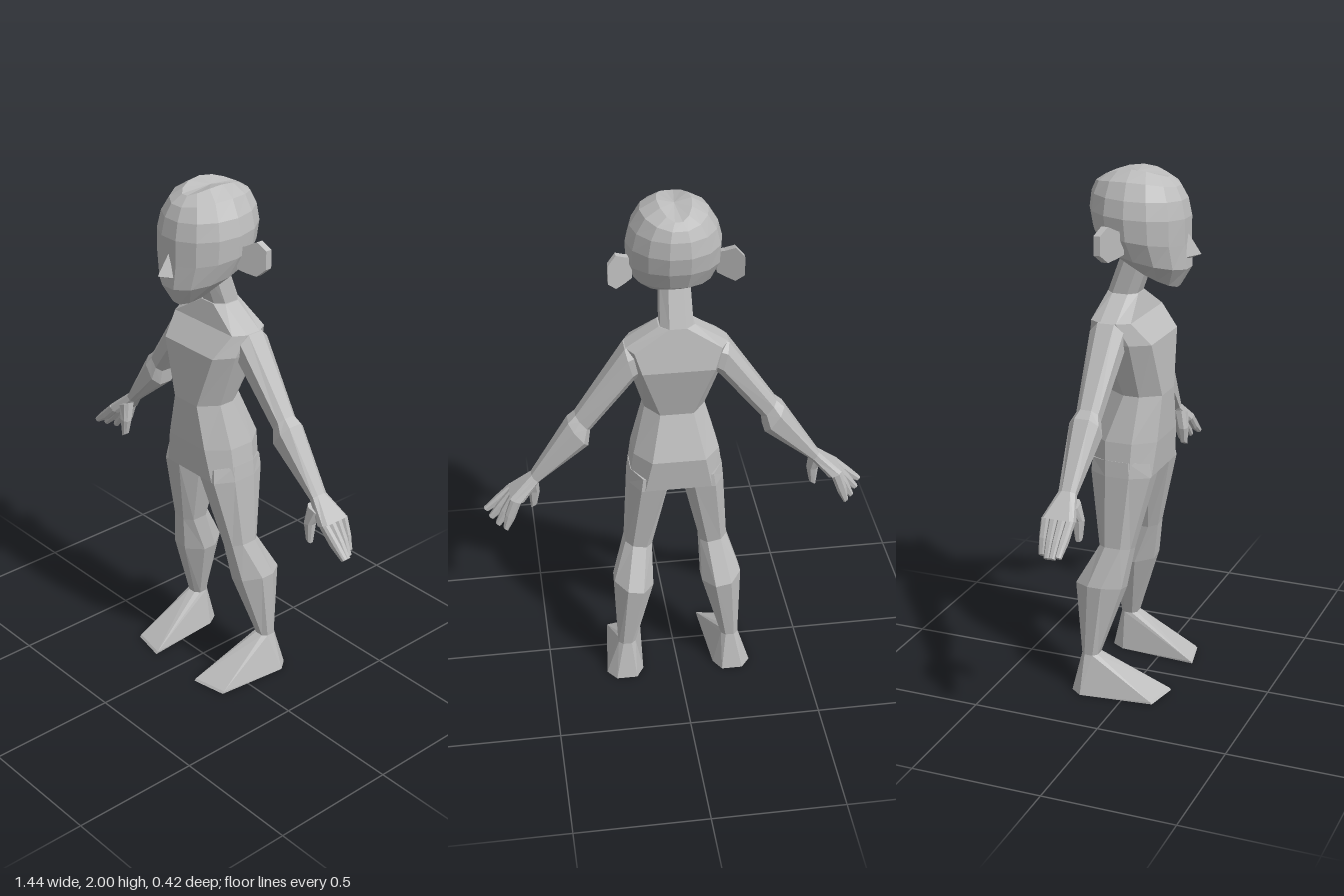
import * as THREE from 'three';
import { ConvexGeometry } from 'three/addons/geometries/ConvexGeometry.js';

const skin = new THREE.MeshStandardMaterial({ color: 0xbcbcbc, flatShading: true });
skin.name = 'grey clay';

// Eight-sided cross-section between outer point a and inner point b (x, y), from z back to z front
function ring(a, b, zf, zb, cu = 0.5, cv = 0.5) {
  const uv = [[1, cv], [cu, 1], [-cu, 1], [-1, cv], [-1, -cv], [-cu, -1], [cu, -1], [1, -cv]];
  return uv.map(([u, v]) => {
    const t = (u + 1) / 2, s = (v + 1) / 2;
    return [b[0] + (a[0] - b[0]) * t, b[1] + (a[1] - b[1]) * t, zb + (zf - zb) * s];
  });
}

// Cross-section centred on x = 0
const level = (y, w, zf, zb, cu, cv) => ring([w, y], [-w, y], zf, zb, cu, cv);

// Tilted oval of the head, with an optional rise at the sides
function headRing(w, [zf, yf], [zb, yb], rise = 0, n = 14) {
  return Array.from({ length: n }, (_, i) => {
    const t = ((i + 0.5) / n) * Math.PI * 2, c = Math.cos(t), s = Math.sin(t);
    const k = (1 + c) / 2;
    return [w * 1.02 * s, yb + (yf - yb) * k + rise * s * s, (zf + zb) / 2 + ((zf - zb) / 2) * 1.025 * c];
  });
}

// Skin a list of cross-sections and close both ends, with faces turned outward
function loft(rings) {
  const n = rings[0].length, tris = [];
  for (let r = 0; r + 1 < rings.length; r++) {
    for (let i = 0; i < n; i++) {
      const j = (i + 1) % n, a = rings[r], b = rings[r + 1];
      tris.push([a[i], a[j], b[j]], [a[i], b[j], b[i]]);
    }
  }
  const cap = (p, flip) => {
    const c = [0, 1, 2].map((k) => p.reduce((sum, q) => sum + q[k], 0) / n);
    p.forEach((q, i) => {
      const next = p[(i + 1) % n];
      tris.push(flip ? [c, next, q] : [c, q, next]);
    });
  };
  cap(rings[0], true);
  cap(rings[rings.length - 1], false);
  let volume = 0;
  for (const [a, b, c] of tris) {
    volume += a[0] * (b[1] * c[2] - b[2] * c[1]) + a[1] * (b[2] * c[0] - b[0] * c[2]) + a[2] * (b[0] * c[1] - b[1] * c[0]);
  }
  if (volume < 0) tris.forEach((t) => t.reverse());
  const geo = new THREE.BufferGeometry();
  geo.setAttribute('position', new THREE.Float32BufferAttribute(tris.flat(2), 3));
  geo.computeVertexNormals();
  return geo;
}

export function createModel() {
  const model = new THREE.Group();
  model.name = 'figure';
  const add = (name, geo, parent = model) => {
    const mesh = new THREE.Mesh(geo, skin);
    mesh.name = name;
    parent.add(mesh);
  };
  const hull = (pts) => new ConvexGeometry(pts.map((p) => new THREE.Vector3(...p)));

  // Torso from collar to crotch
  add('torso', loft([
    level(1.54, 0.065, -0.02, -0.14),
    level(1.46, 0.185, 0.0, -0.155, 0.85, 0.4),
    level(1.38, 0.175, 0.07, -0.17, 0.75, 0.4),
    level(1.17, 0.112, 0.085, -0.12, 0.55, 0.3),
    level(1.0, 0.16, 0.08, -0.18, 0.62, 0.4),
    level(0.87, 0.178, 0.068, -0.168, 0.7, 0.4),
  ]));

  add('neck', loft([
    level(1.5, 0.062, -0.035, -0.145),
    level(1.54, 0.06, -0.025, -0.14),
    level(1.69, 0.055, 0.03, -0.085),
  ]));

  // Head with sloping jaw
  add('head', loft([
    headRing(0.075, [0.125, 1.573], [-0.09, 1.675]),
    headRing(0.135, [0.165, 1.645], [-0.165, 1.72]),
    headRing(0.165, [0.16, 1.735], [-0.195, 1.785]),
    headRing(0.168, [0.16, 1.83], [-0.207, 1.85]),
    headRing(0.152, [0.147, 1.895], [-0.2, 1.91]),
    headRing(0.118, [0.123, 1.94], [-0.185, 1.945], 0.02),
    headRing(0.06, [0.085, 1.97], [-0.155, 1.965], 0.03),
  ]));

  add('nose', hull([
    [0, 1.78, 0.155], [0.042, 1.685, 0.14], [-0.042, 1.685, 0.14],
    [0, 1.675, 0.15], [0, 1.70, 0.21], [0, 1.73, 0.12],
  ]));

  for (const s of [1, -1]) {
    const side = s > 0 ? 'left' : 'right';
    const flip = (pts) => pts.map(([x, y, z]) => [x * s, y, z]);
    const limb = (name, rings, parent) => add(name, loft(rings.map(flip)), parent);

    // Ear leaning back, thicker at the rim
    const earOutline = [[0.15, 1.79], [0.175, 1.8], [0.21, 1.82], [0.24, 1.79], [0.24, 1.72], [0.21, 1.69], [0.175, 1.7], [0.15, 1.71]];
    const ear = (dz) => earOutline.map(([x, y]) => [x, y, -0.045 - (x - 0.17) * 0.6 + dz]);
    limb(side + 'Ear', [ear(0.005), ear(-0.02)]);

    // Arm from shoulder through elbow to wrist
    limb(side + 'Arm', [
      ring([0.13, 1.47], [0.1, 1.37], -0.03, -0.14),
      ring([0.188, 1.46], [0.155, 1.33], -0.02, -0.15),
      ring([0.37, 1.19], [0.318, 1.125], -0.045, -0.13),
      ring([0.398, 1.165], [0.327, 1.065], -0.035, -0.147),
      ring([0.54, 0.943], [0.51, 0.915], -0.06, -0.125),
    ]);

    // Hand: palm, four fingers and thumb
    const hand = new THREE.Group();
    hand.name = side + 'Hand';
    model.add(hand);
    limb('palm', [
      ring([0.54, 0.943], [0.51, 0.915], -0.06, -0.125),
      ring([0.625, 0.868], [0.575, 0.848], -0.033, -0.155, 0.5, 0.8),
    ], hand);
    [[0.722, 0.765], [0.705, 0.75], [0.682, 0.738], [0.655, 0.737]].forEach(([x, y], i) => {
      const z = -0.048 - i * 0.031;
      limb('finger' + (i + 1), [
        ring([0.622, 0.868], [0.585, 0.852], z + 0.015, z - 0.015),
        ring([(0.635 + x) / 2, (0.865 + y) / 2], [(0.57 + x) / 2, (0.82 + y) / 2], z + 0.014, z - 0.014),
        ring([x, y + 0.006], [x - 0.016, y - 0.008], z + 0.011, z - 0.011),
      ], hand);
    });
    limb('thumb', [
      ring([0.575, 0.89], [0.515, 0.91], -0.04, -0.09),
      ring([0.552, 0.84], [0.51, 0.835], -0.03, -0.07),
      ring([0.546, 0.76], [0.522, 0.775], -0.035, -0.06),
    ], hand);

    // Leg with knee and full calf
    limb(side + 'Leg', [
      ring([0.172, 0.93], [0.012, 0.9], 0.06, -0.165, 0.5, 0.4),
      ring([0.178, 0.87], [0.022, 0.87], 0.068, -0.168, 0.5, 0.4),
      ring([0.195, 0.59], [0.093, 0.57], 0.0, -0.125),
      ring([0.245, 0.44], [0.095, 0.41], -0.025, -0.21, 0.4, 0.3),
      ring([0.236, 0.15], [0.17, 0.15], -0.115, -0.18),
    ]);

    // Wedge-shaped foot
    add(side + 'Foot', hull(flip([
      ...ring([0.236, 0.15], [0.17, 0.15], -0.115, -0.18),
      [0.118, 0, 0.147], [0.255, 0, 0.12], [0.118, 0.008, 0.14], [0.255, 0.008, 0.113],
      [0.285, 0, -0.165], [0.25, 0, -0.21], [0.17, 0, -0.21], [0.14, 0, -0.16],
    ])));
  }
  return model;
}
